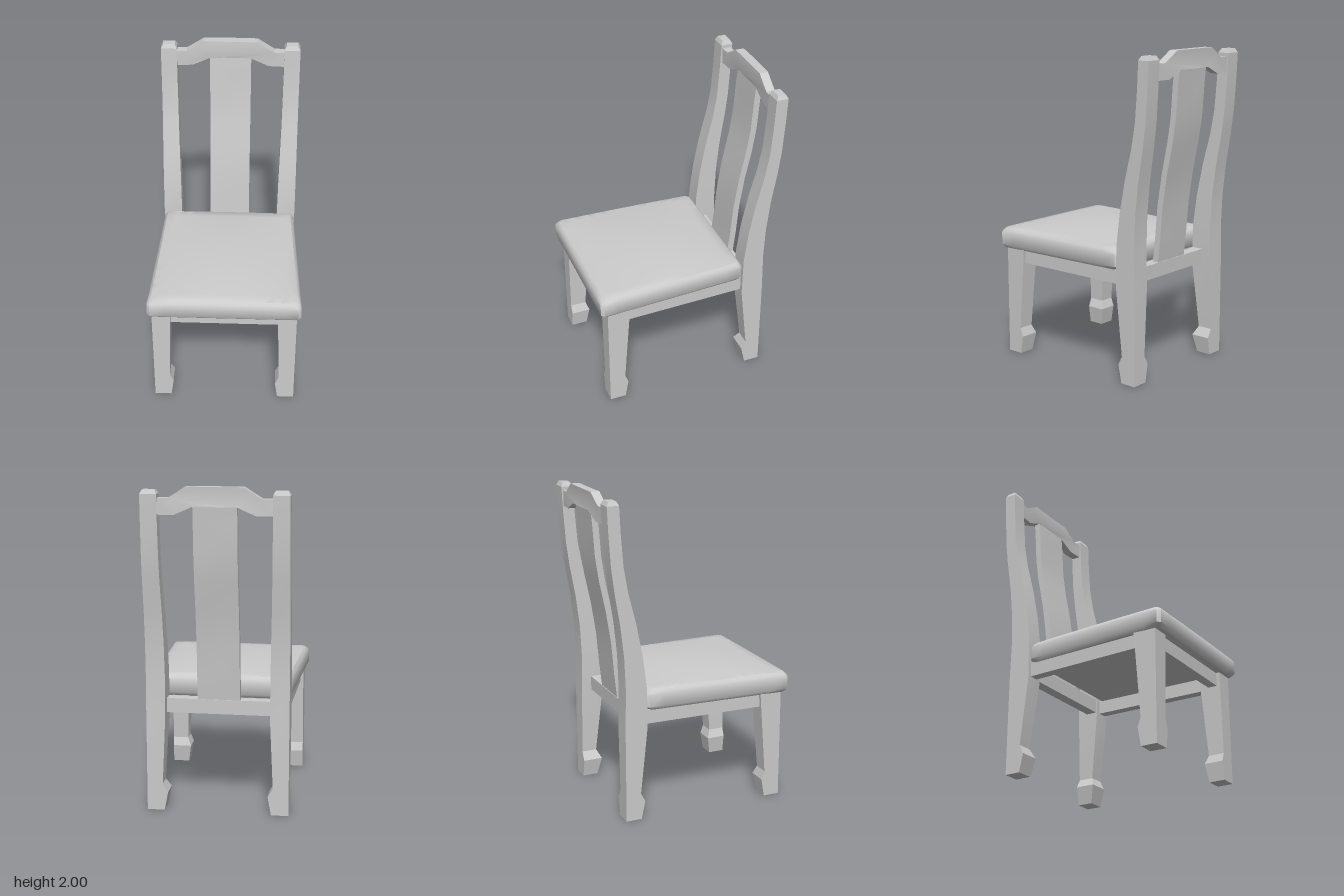
import * as THREE from 'three';
import { toCreasedNormals } from 'three/addons/utils/BufferGeometryUtils.js';

const material = new THREE.MeshStandardMaterial({ color: 0xcccccc });

function part(name, geometry, crease = 0.6) {
  const mesh = new THREE.Mesh(toCreasedNormals(geometry, crease), material);
  mesh.name = name;
  return mesh;
}

// Skin a stack of rings (bottom to top, counter-clockwise seen from above) and cap both ends.
function loft(rings) {
  const pos = [], n = rings[0].length;
  const tri = (...p) => p.forEach((q) => pos.push(...q));
  const middle = (r) => [0, 1, 2].map((k) => r.reduce((s, p) => s + p[k], 0) / n);
  const low = rings[0], high = rings[rings.length - 1];
  const lowMid = middle(low), highMid = middle(high);
  for (let j = 0; j < n; j++) {
    const k = (j + 1) % n;
    for (let i = 0; i < rings.length - 1; i++) {
      const a = rings[i], b = rings[i + 1];
      tri(a[j], a[k], b[k]);
      tri(a[j], b[k], b[j]);
    }
    tri(lowMid, low[k], low[j]);
    tri(highMid, high[j], high[k]);
  }
  const g = new THREE.BufferGeometry();
  g.setAttribute('position', new THREE.Float32BufferAttribute(pos, 3));
  return g;
}

// Rectangular ring; side -1 mirrors it in x.
function rect(y, xa, xb, z0, z1, side = 1) {
  const x0 = Math.min(side * xa, side * xb), x1 = Math.max(side * xa, side * xb);
  return [[x1, y, z1], [x1, y, z0], [x0, y, z0], [x0, y, z1]];
}

// Leg sections: y, inner x, outer x, back z, front z
const frontLeg = [
  [0, 0.345, 0.45, 0.45, 0.553], [0.115, 0.328, 0.45, 0.43, 0.553],
  [0.17, 0.35, 0.45, 0.45, 0.553], [0.7, 0.333, 0.45, 0.408, 0.553],
];
const backPost = [
  [0, 0.33, 0.437, -0.5, -0.4], [0.115, 0.308, 0.437, -0.5, -0.375],
  [0.17, 0.34, 0.437, -0.5, -0.403], [0.6, 0.32, 0.437, -0.5, -0.356],
  [0.85, 0.32, 0.437, -0.495, -0.36], [1.05, 0.323, 0.437, -0.503, -0.385],
  [1.25, 0.328, 0.437, -0.525, -0.424], [1.45, 0.333, 0.437, -0.558, -0.474],
  [1.6, 0.335, 0.437, -0.577, -0.5], [1.8, 0.337, 0.437, -0.59, -0.515],
  [1.955, 0.337, 0.437, -0.597, -0.522], [1.98, 0.35, 0.424, -0.584, -0.535],
];

// Cushion ring: inset trapezoid outline with clipped corners; y may depend on position.
function seatRing(inset, height, steps = 10) {
  const ring = [], clip = 0.96;
  const sides = [[1, 1, 0, -1], [1, -1, -1, 0], [-1, -1, 0, 1], [-1, 1, 1, 0]];
  for (const [u0, v0, du, dv] of sides) {
    for (let i = 0; i <= steps; i++) {
      const t = (1 - clip) + (2 * clip * i) / steps;
      const u = u0 + du * t, v = v0 + dv * t;
      const z = 0.12 + v * (0.478 - inset);
      const halfWidth = 0.43 + 0.045 * (z + 0.358) / 0.956;
      const x = u * (halfWidth - inset * halfWidth / 0.478);
      ring.push([x, height(x / halfWidth, (z - 0.12) / 0.478), z]);
    }
  }
  return ring;
}

function seat() {
  const flat = (y) => () => y;
  const dome = (u, v) => 0.826 + 0.031 * (1 - u * u) * (1 - v * v);
  const rings = [
    seatRing(0.02, flat(0.695)), seatRing(0, flat(0.717)), seatRing(0, flat(0.796)),
    seatRing(0.009, flat(0.812)),
  ];
  for (const inset of [0.024, 0.08, 0.15, 0.22, 0.29, 0.36, 0.43, 0.47]) rings.push(seatRing(inset, dome));
  return part('seat', loft(rings), 0.75);
}

// Stepped top rail, bowed slightly forward at its ends
function crestRail() {
  const top = [[0.34, 1.933], [0.275, 1.933], [0.22, 1.967], [0.17, 2], [0.06, 2]];
  const bottom = [[0.06, 1.885], [0.13, 1.885], [0.185, 1.86], [0.24, 1.836], [0.34, 1.836]];
  const mirror = (list) => list.map(([x, y]) => [-x, y]).reverse();
  const outline = [...top, ...mirror(top), ...mirror(bottom), ...bottom];
  const shape = new THREE.Shape(outline.map(([x, y]) => new THREE.Vector2(x, y)));
  const g = new THREE.ExtrudeGeometry(shape, { depth: 0.055, bevelEnabled: false });
  const p = g.attributes.position;
  for (let i = 0; i < p.count; i++) {
    p.setZ(i, p.getZ(i) - 0.597 + 0.011 * (p.getX(i) / 0.33) ** 2);
  }
  return part('crestRail', g, 0.4);
}

// Back splat following the curve of the posts
function splat() {
  const rings = [rect(0.69, -0.13, 0.13, -0.43, -0.39)];
  for (const [y, , , z0, z1] of backPost) {
    if (y < 0.8 || y > 1.9) continue;
    const mid = (z0 + z1) / 2;
    rings.push(rect(y, -0.13, 0.13, mid - 0.02, mid + 0.02));
  }
  rings.push(rect(1.895, -0.13, 0.13, -0.582, -0.542));
  return part('backSplat', loft(rings));
}

export function createModel() {
  const model = new THREE.Group();
  model.name = 'chair';
  model.add(seat(), crestRail(), splat());

  for (const [label, side] of [['left', 1], ['right', -1]]) {
    model.add(part(label + 'FrontLeg', loft(frontLeg.map((s) => rect(...s, side))), 0.4));
    model.add(part(label + 'BackPost', loft(backPost.map((s) => rect(...s, side))), 0.4));

    // Side apron, slanting with the seat
    const rail = [0.61, 0.7].map((y) => {
      const ring = [[0.43, y, 0.43], [0.412, y, -0.38], [0.352, y, -0.38], [0.37, y, 0.43]]
        .map(([x, h, z]) => [side * x, h, z]);
      return side > 0 ? ring : ring.reverse();
    });
    model.add(part(label + 'Apron', loft(rail)));
  }

  // Front and back aprons between the legs
  const cross = (name, half, z0, z1) =>
    part(name, loft([0.61, 0.7].map((y) => rect(y, -half, half, z0, z1))));
  model.add(cross('frontApron', 0.36, 0.47, 0.53), cross('backApron', 0.35, -0.435, -0.365));
  return model;
}
